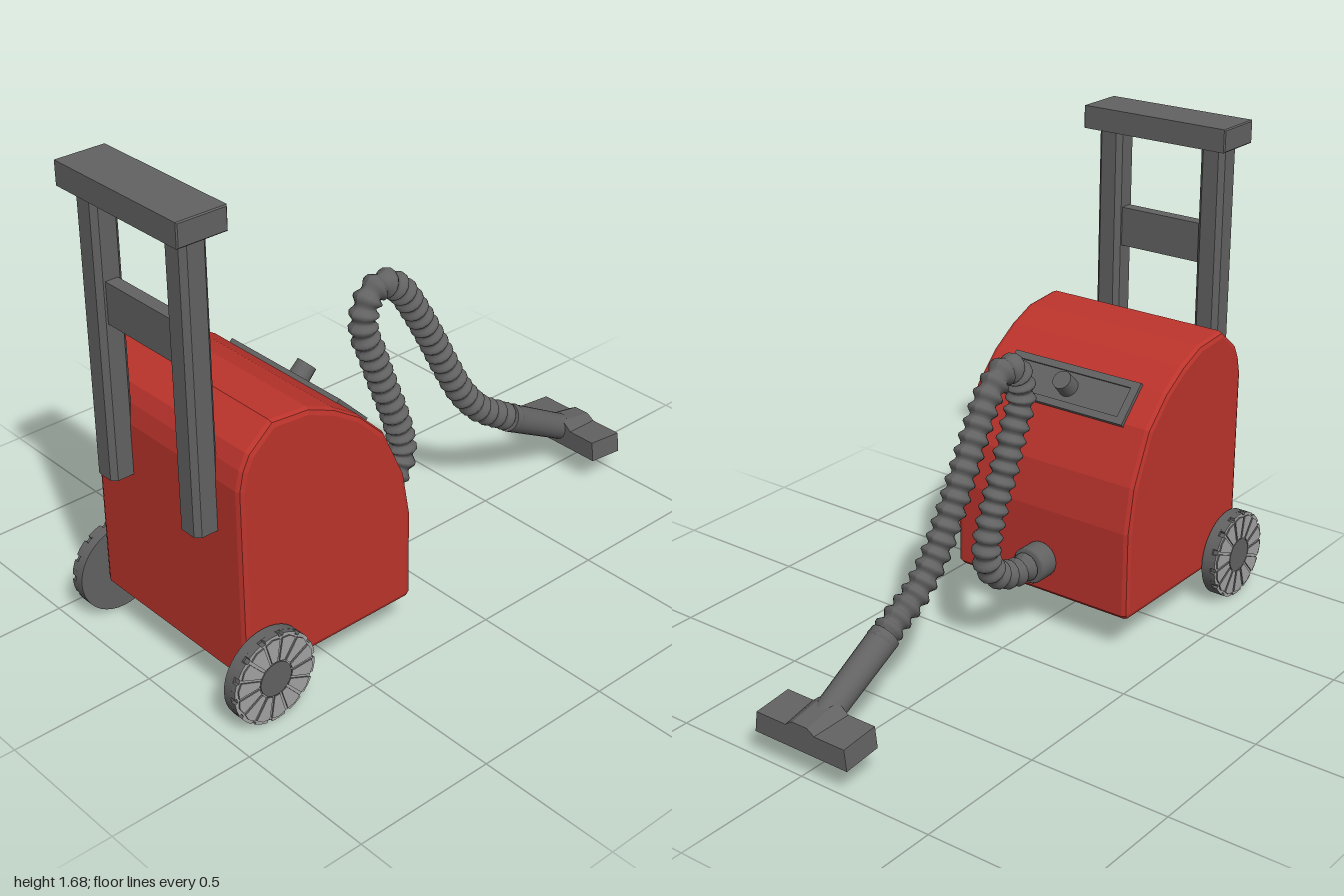
import * as THREE from 'three';

const mat = (name, color, extra = {}) =>
  Object.assign(new THREE.MeshStandardMaterial({ color, ...extra }), { name });

export function createModel() {
  const red = mat('body red', 0xbc342c);
  const dark = mat('dark grey', 0x626262);
  const light = mat('wheel grey', 0xa3a3a3);

  const model = new THREE.Group();
  model.name = 'vacuumCleaner';
  const add = (name, geo, material, pos = [0, 0, 0], parent = model) => {
    const m = new THREE.Mesh(geo, material);
    m.name = name;
    m.position.set(...pos);
    parent.add(m);
    return m;
  };
  const shapeOf = pts => new THREE.Shape(pts.map(p => new THREE.Vector2(...p)));
  const extrude = (shape, depth, bevel = 0, segs = 1) => new THREE.ExtrudeGeometry(shape, {
    depth: depth - 2 * bevel, bevelEnabled: bevel > 0, bevelSize: bevel, bevelOffset: -bevel,
    bevelThickness: bevel, bevelSegments: segs,
  }).translate(0, 0, bevel - depth / 2);
  const box = (name, x, y, z, pos) => add(name, new THREE.BoxGeometry(x, y, z), dark, pos);

  // Body: faceted side profile, swept across z with a softened edge
  const profile = [[-0.875, 0.13], [-0.225, 0.13], [-0.21, 0.145], [-0.21, 0.45], [-0.238, 0.61],
    [-0.32, 0.79], [-0.42, 0.89], [-0.52, 0.955], [-0.62, 0.998], [-0.76, 1.01], [-0.85, 0.935],
    [-0.875, 0.885], [-0.89, 0.82], [-0.89, 0.145]];
  add('body', extrude(shapeOf(profile), 0.725, 0.02, 2), red);

  // Control panel and knob on the sloping front
  const panel = new THREE.Group();
  panel.name = 'controlPanel';
  panel.position.set(-0.37, 0.838, 0);
  panel.rotation.z = -Math.PI / 4;
  model.add(panel);
  const frame = shapeOf([[-0.08, -0.26], [0.08, -0.26], [0.08, 0.26], [-0.08, 0.26]]);
  frame.holes.push(shapeOf([[-0.055, -0.23], [-0.055, 0.23], [0.055, 0.23], [0.055, -0.23]]));
  add('panelFrame', extrude(frame, 0.03).rotateX(-Math.PI / 2), dark, [0, 0, 0], panel);
  add('panelPlate', new THREE.BoxGeometry(0.112, 0.02, 0.462), dark, [0, -0.002, 0], panel);
  add('knob', new THREE.CylinderGeometry(0.034, 0.036, 0.06, 16), dark, [0, 0.035, 0], panel);

  // Pull handle
  const h = 0.047, c = 0.03;
  const postShape = shapeOf([[-h, -c], [-c, -h], [c, -h], [h, -c], [h, c], [c, h], [-c, h], [-h, c]]);
  for (const z of [0.204, -0.213])
    add('handlePost', extrude(postShape, 0.97).rotateX(-Math.PI / 2), dark, [-0.918, 1.125, z]);
  box('handleCrossbar', 0.045, 0.14, 0.36, [-0.918, 1.253, -0.005]);
  add('handleGrip', extrude(shapeOf([[-0.0875, -0.04], [0.0875, -0.04], [0.0875, 0.04], [-0.0875, 0.04]]),
    0.573, 0.004), dark, [-0.9125, 1.645, -0.007]);

  // Wheels: dark tyre with a notched rim and a fan of raised petals
  const R = 0.157, N = 14;
  const polar = (r, a) => [r * Math.cos(a), r * Math.sin(a)];
  const rim = [];
  for (let i = 0; i < N; i++) {
    const a = (i / N) * Math.PI * 2, s = (Math.PI * 2) / N;
    rim.push(polar(R - 0.009, a), polar(R - 0.009, a + s * 0.22), polar(R, a + s * 0.25),
      polar(R, a + s * 0.6), polar(R, a + s * 0.97));
  }
  const rimGeo = extrude(shapeOf(rim), 0.02);
  const petal = shapeOf([polar(0.064, -0.16), polar(0.142, -0.19), polar(0.147, 0),
    polar(0.142, 0.19), polar(0.064, 0.16)]);
  const petalGeo = extrude(petal, 0.008);
  for (const side of [1, -1]) {
    const wheel = new THREE.Group();
    wheel.name = side > 0 ? 'leftWheel' : 'rightWheel';
    wheel.position.set(-0.828, 0.158, side * 0.397);
    wheel.rotation.y = side > 0 ? 0 : Math.PI;
    model.add(wheel);
    add('tyre', new THREE.CylinderGeometry(R, R, 0.034, 40).rotateX(Math.PI / 2), dark, [0, 0, -0.011], wheel);
    add('rim', rimGeo, [light, dark], [0, 0, 0.014], wheel);
    for (let i = 0; i < N; i++)
      add('petal', petalGeo, [light, dark], [0, 0, 0.025], wheel).rotation.z = ((i + 0.6) / N) * Math.PI * 2;
    add('hub', new THREE.CylinderGeometry(0.06, 0.06, 0.03, 24).rotateX(Math.PI / 2), dark, [0, 0, 0.014], wheel);
  }
  add('axle', new THREE.CylinderGeometry(0.03, 0.03, 0.76, 12).rotateX(Math.PI / 2), dark, [-0.828, 0.158, 0]);

  // Hose socket
  const socket = [[0, 0], [0.062, 0], [0.065, 0.01], [0.065, 0.075], [0.058, 0.085], [0, 0.085]];
  add('hoseSocket', new THREE.LatheGeometry(socket.map(p => new THREE.Vector2(...p)), 24)
    .rotateZ(-Math.PI / 2), dark, [-0.215, 0.26, -0.005]);

  // Ribbed hose: a tube whose radius swells at regular steps
  const path = new THREE.CatmullRomCurve3([
    [-0.15, 0.262, -0.005], [-0.05, 0.265, 0], [0.035, 0.3, 0.005], [0.08, 0.37, 0.005], [0.08, 0.45, 0],
    [0.05, 0.56, -0.005], [0.01, 0.68, -0.015], [-0.03, 0.8, -0.02], [-0.063, 0.9, -0.025],
    [-0.05, 0.985, -0.027], [-0.015, 1.025, -0.03], [0.035, 1.033, -0.03], [0.1, 0.99, -0.03],
    [0.17, 0.89, -0.032], [0.25, 0.75, -0.033], [0.31, 0.63, -0.028], [0.38, 0.5, -0.018],
    [0.46, 0.405, -0.008], [0.55, 0.345, 0], [0.64, 0.292, 0],
  ].map(p => new THREE.Vector3(...p)));
  const ribs = 42, steps = 6, sides = 14;
  const hose = new THREE.TubeGeometry(path, ribs * steps, 0.037, sides);
  const pos = hose.attributes.position, nor = hose.attributes.normal;
  const swell = [0, 0, 0.007, 0.014, 0.014, 0.007];
  for (let i = 0; i < pos.count; i++) {
    const d = swell[Math.floor(i / (sides + 1)) % steps];
    pos.setXYZ(i, pos.getX(i) + nor.getX(i) * d, pos.getY(i) + nor.getY(i) * d, pos.getZ(i) + nor.getZ(i) * d);
  }
  hose.computeVertexNormals();
  add('hose', hose, dark);

  // Wand
  const from = new THREE.Vector3(0.6, 0.312, 0), to = new THREE.Vector3(0.9, 0.15, 0);
  const dir = to.clone().sub(from);
  const wand = add('wand', new THREE.CylinderGeometry(0.047, 0.051, dir.length(), 20), dark,
    from.clone().add(to).multiplyScalar(0.5).toArray());
  wand.quaternion.setFromUnitVectors(new THREE.Vector3(0, 1, 0), dir.normalize());

  // Floor nozzle: flared, sloping forward, hollow underneath
  const slope = (geo, amount) => {
    const p = geo.attributes.position;
    for (let i = 0; i < p.count; i++) p.setY(i, p.getY(i) - (p.getX(i) - 0.86) * amount);
    geo.computeVertexNormals();
    return geo;
  };
  const alongX = (pts, depth) => extrude(shapeOf(pts), depth).rotateY(Math.PI / 2).translate(0.93, 0, 0);
  const shell = [[-0.188, 0.104], [-0.17, 0.104], [-0.16, 0.145], [0.16, 0.145], [0.17, 0.104],
    [0.188, 0.104], [0.179, 0.176], [-0.179, 0.176]];
  add('nozzleShell', slope(alongX(shell, 0.14), 0.1), dark);
  const wall = [[-0.17, 0.104], [0.17, 0.104], [0.16, 0.146], [-0.16, 0.146]];
  for (const x of [-0.063, 0.063])
    add('nozzleWall', slope(alongX(wall, 0.014).translate(x, 0, 0), 0.1), dark);
  const hump = [[-0.08, 0.17], [0.08, 0.17], [0.05, 0.194], [0.03, 0.206], [-0.03, 0.206], [-0.05, 0.194]];
  add('nozzleHump', slope(alongX(hump, 0.14), 0.18), dark);

  return model;
}
